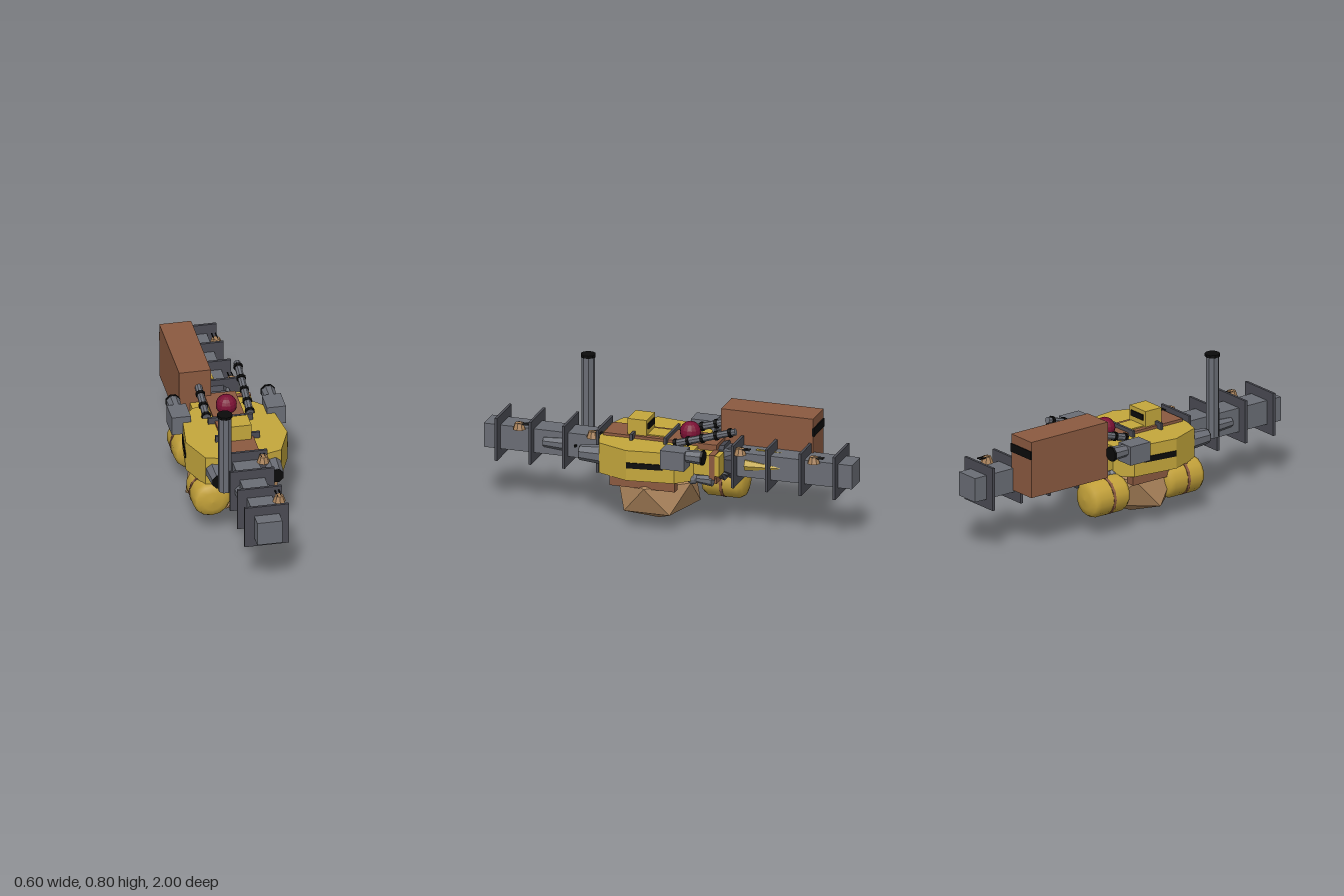
import * as THREE from 'three';
import { ConvexGeometry } from 'three/addons/geometries/ConvexGeometry.js';

const mat = (color, flatShading = true) => new THREE.MeshStandardMaterial({ color, flatShading });
const yellow = mat(0xc4a73c), grey = mat(0x6a6d75), dark = mat(0x4a4b53), black = mat(0x0b0b0b);
const brown = mat(0x8b5a40), tan = mat(0xa9825a), red = mat(0x7a1034), tankPaint = mat(0xc4a23a, false);

export function createModel() {
  const model = new THREE.Group();
  const add = (name, geo, material, x = 0, y = 0, z = 0, parent = model) => {
    const m = new THREE.Mesh(geo, material);
    m.name = name;
    m.position.set(x, y, z);
    parent.add(m);
    return m;
  };
  // Box given by its extents on each axis
  const box = (name, material, x0, x1, y0, y1, z0, z1, parent) =>
    add(name, new THREE.BoxGeometry(x1 - x0, y1 - y0, z1 - z0), material,
      (x0 + x1) / 2, (y0 + y1) / 2, (z0 + z1) / 2, parent);
  // Cylinder along z from z0 (rear) to z1 (front)
  const rod = (name, material, x, y, z0, z1, rRear, rFront, sides = 8, parent = model) => {
    const g = new THREE.CylinderGeometry(rFront, rRear, z1 - z0, sides);
    g.rotateY(Math.PI / sides).rotateX(Math.PI / 2);
    return add(name, g, material, x, y, (z0 + z1) / 2, parent);
  };

  // Long spine with square frames
  box('spine', grey, -0.066, 0.066, 0.3, 0.43, -1, 1);
  for (let i = -5; i <= 5; i++) {
    if (i === -1) continue;
    const z = i * 0.1835;
    box('spineFrame', dark, -0.117, 0.117, 0.25, 0.482, z - 0.007, z + 0.007);
  }

  // Faceted armour hull
  const half = [[0.1, 0.36], [0.2, 0.33], [0.267, 0.16], [0.235, -0.09], [0.16, -0.17]];
  const outline = [...half, ...half.map(([x, z]) => [-x, z]).reverse()];
  const hull = new THREE.ExtrudeGeometry(
    new THREE.Shape(outline.map(p => new THREE.Vector2(...p))), { depth: 0.164, bevelEnabled: false });
  hull.rotateX(Math.PI / 2);
  add('armourHull', hull, yellow, 0, 0.447, 0);

  // Inner body and bridge
  box('innerBody', brown, -0.082, 0.082, 0.25, 0.462, -0.27, 0.345);
  box('bridge', yellow, -0.066, 0.066, 0.44, 0.547, 0.115, 0.22);
  box('bridgeWindow', black, -0.05, 0.05, 0.495, 0.525, 0.108, 0.116);
  box('bridgeDeck', yellow, -0.055, 0.055, 0.44, 0.468, 0, 0.115);
  add('sensorDome', new THREE.SphereGeometry(0.055, 14, 10), red, 0, 0.49, -0.1);

  for (const s of [-1, 1]) {
    // Hull side window, lying along the slanted flank
    const win = add('sideWindow', new THREE.BoxGeometry(0.012, 0.03, 0.19), black, s * 0.254, 0.367, 0.064);
    win.rotation.y = s * 0.127;

    // Front guns
    rod('frontGun', grey, s * 0.15, 0.365, 0.33, 0.445, 0.05, 0.041);
    rod('frontGunBore', black, s * 0.15, 0.365, 0.44, 0.449, 0.04, 0.04);
    rod('bowThruster', grey, s * 0.058, 0.365, 0.56, 0.675, 0.037, 0.028);

    // Side pods with rear nozzles
    box('sidePod', grey, s * 0.25 - 0.05, s * 0.25 + 0.05, 0.38, 0.482, -0.165, -0.035);
    rod('podNozzle', grey, s * 0.25, 0.45, -0.25, -0.16, 0.038, 0.032);
    rod('podNozzleBore', black, s * 0.25, 0.45, -0.258, -0.245, 0.04, 0.04);

    // Ringed cannon, raised toward the rear
    const cannon = new THREE.Group();
    cannon.name = 'rearCannon';
    cannon.position.set(s * 0.115, 0.46, -0.06);
    cannon.rotation.x = 0.3;
    model.add(cannon);
    rod('cannonBarrel', grey, 0, 0, -0.34, 0.01, 0.018, 0.02, 8, cannon);
    for (const z of [-0.31, -0.23, -0.15, -0.07, 0])
      rod('cannonRing', black, 0, 0, z - 0.008, z + 0.008, 0.025, 0.025, 8, cannon);

    // Lower struts, rear blocks and small ball thrusters
    box('lowerStrut', brown, s * 0.2 - 0.025, s * 0.2 + 0.025, 0.232, 0.29, -0.09, 0.265);
    box('rearBlock', yellow, s * 0.12 - 0.04, s * 0.12 + 0.04, 0.32, 0.43, -0.31, -0.15);
    box('rearBlockBand', brown, s * 0.12 - 0.043, s * 0.12 + 0.043, 0.3, 0.435, -0.285, -0.255);
    add('ballJoint', new THREE.IcosahedronGeometry(0.033, 1), grey, s * 0.14, 0.29, -0.16);
    rod('lowerThruster', grey, s * 0.14, 0.29, -0.27, -0.16, 0.032, 0.018);

    // Pointed fins on the tail
    const fin = rod('tailFin', yellow, s * 0.062, 0.367, -0.635, -0.42, 0.001, 0.033, 6);
    fin.scale.x = 0.9;
  }
  const topFin = rod('topFin', yellow, 0, 0.43, -0.6, -0.46, 0.001, 0.012, 4);
  topFin.scale.y = 0.6;
  box('bowAxle', black, -0.08, 0.08, 0.36, 0.37, 0.495, 0.505);

  // Stepped engine collar around the spine
  for (const [z0, z1, r0, r1] of [[-0.25, -0.2, 0.115, 0.1], [-0.3, -0.25, 0.105, 0.09], [-0.36, -0.3, 0.1, 0.08]])
    rod('engineCollar', dark, 0, 0.355, z0, z1, r0, r1);

  // Chimney mast
  const mastGeo = new THREE.CylinderGeometry(0.035, 0.035, 0.445, 8).rotateY(Math.PI / 8);
  add('mast', mastGeo, grey, -0.133, 0.568, 0.5);
  add('mastCap', new THREE.CylinderGeometry(0.04, 0.04, 0.015, 10), black, -0.133, 0.7925, 0.5);

  // Cargo container
  box('container', brown, -0.217, -0.05, 0.31, 0.615, -0.75, -0.25);
  box('containerStripe', black, -0.218, -0.049, 0.52, 0.565, -0.756, -0.745);

  // Fuel tanks with shallow domes and a band
  const profile = [[0, -0.125], [0.05, -0.12], [0.085, -0.108], [0.1, -0.085], [0.1, 0.085], [0.085, 0.108], [0.05, 0.12], [0, 0.125]];
  for (const z of [-0.24, 0.245]) {
    const g = new THREE.LatheGeometry(profile.map(p => new THREE.Vector2(...p)), 14).rotateX(Math.PI / 2);
    add('fuelTank', g, tankPaint, -0.167, 0.198, z);
    rod('tankBand', brown, -0.167, 0.198, z - 0.008, z + 0.008, 0.103, 0.103, 14);
  }

  // Faceted rock slung below: two offset pentagons and two apexes
  const pts = [new THREE.Vector3(0, 0, 0.07), new THREE.Vector3(0, 0.33, 0.07)];
  for (let i = 0; i < 5; i++) {
    const a = i * Math.PI * 0.4, x = 0.25 * Math.cos(a), z = 0.21 * Math.sin(a);
    pts.push(new THREE.Vector3(x, 0.238, 0.07 + z), new THREE.Vector3(-x, 0.092, 0.07 - z));
  }
  add('slungRock', new ConvexGeometry(pts), tan);

  // Small twin-barrel turrets along the spine
  for (const z of [-0.8, -0.4, 0.4, 0.8]) {
    add('turretBase', new THREE.CylinderGeometry(0.022, 0.034, 0.034, 8), tan, 0.09, 0.447, z);
    for (const dx of [-0.01, 0.01])
      rod('turretBarrel', black, 0.09 + dx, 0.461, z - 0.055, z + 0.01, 0.004, 0.004, 6);
  }
  return model;
}
